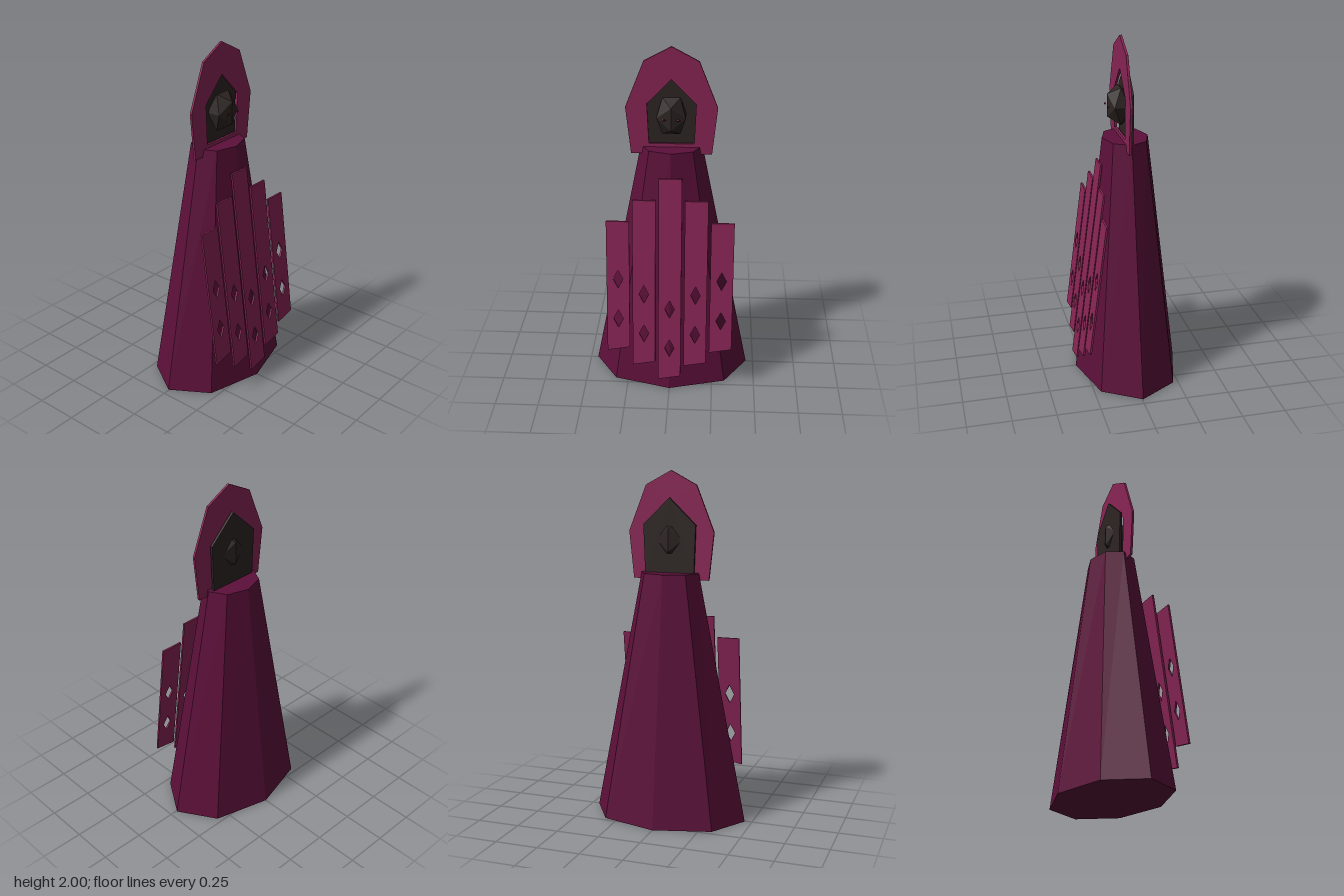
import * as THREE from 'three';

const mat = (name, color) => {
  const m = new THREE.MeshStandardMaterial({ color });
  m.name = name;
  return m;
};

const polygon = (points) => points.map(([x, y]) => new THREE.Vector2(x, y));

// Closed outline from the points of its left half, running from the top centre down
const mirrored = (half) => polygon([
  ...half,
  ...half.filter(([x]) => x !== 0).reverse().map(([x, y]) => [-x, y]),
]);

const plate = (outline, holes, depth) => {
  const shape = new THREE.Shape(outline);
  shape.holes = holes.map((h) => new THREE.Path(h));
  return new THREE.ExtrudeGeometry(shape, { depth, bevelEnabled: false });
};

export function createModel() {
  const robeMat = mat('deep plum', 0x5c0f39);
  const trimMat = mat('raspberry', 0x892555);
  const darkMat = mat('charcoal brown', 0x2d2523);
  const eyeMat = mat('dark red', 0x6a1028);

  const group = new THREE.Group();
  const add = (name, geometry, material, x = 0, y = 0, z = 0) => {
    const mesh = new THREE.Mesh(geometry, material);
    mesh.name = name;
    mesh.position.set(x, y, z);
    group.add(mesh);
    return mesh;
  };

  // Eight-sided robe, oval in plan and less so at the neck
  const robeHeight = 1.43;
  let robe = new THREE.CylinderGeometry(1, 1, robeHeight, 8);
  const rp = robe.attributes.position;
  for (let i = 0; i < rp.count; i++) {
    const top = rp.getY(i) > 0;
    rp.setX(i, rp.getX(i) * (top ? 0.172 : 0.458));
    rp.setZ(i, rp.getZ(i) * (top ? 0.132 : 0.305));
  }
  robe = robe.toNonIndexed();
  robe.computeVertexNormals();
  add('robe', robe, robeMat, 0, robeHeight / 2, -0.005);

  // Flat hood with a pointed face opening
  const hoodOutline = mirrored([[0, 2], [-0.15, 1.92], [-0.253, 1.66], [-0.225, 1.39]]);
  const opening = mirrored([[0, 1.82], [-0.135, 1.68], [-0.125, 1.45]]);
  add('hood', plate(hoodOutline, [opening], 0.013), trimMat, 0, 0, 0.011);

  // Dark lining behind the opening
  const lining = mirrored([[0, 1.85], [-0.155, 1.7], [-0.145, 1.42]]);
  add('hoodLining', plate(lining, [], 0.014), darkMat, 0, 0, -0.02);

  // Faceted head
  const head = new THREE.IcosahedronGeometry(1, 0);
  head.scale(0.094, 0.123, 0.079);
  head.computeVertexNormals();
  add('head', head, darkMat, 0, 1.615, 0.0275);

  // Small eyes
  for (const side of [-1, 1]) {
    const eye = new THREE.OctahedronGeometry(1, 0);
    eye.scale(0.015, 0.009, 0.006);
    add(side > 0 ? 'leftEye' : 'rightEye', eye, eyeMat, side * 0.04, 1.615, 0.098);
  }

  // Hanging front strips with slanted hems and diamond cut-outs, leaning along the robe
  const strips = [[0, 0.07, 1.29], [1, 0.16, 1.165], [2, 0.25, 1.04]];
  for (const [step, hem, top] of strips) {
    for (const side of step ? [-1, 1] : [1]) {
      const outline = polygon([[-0.065, hem], [0.065, hem + 0.022], [0.065, top], [-0.065, top]]);
      const diamonds = [0.2, 0.445].map((up) => {
        const y = hem + up;
        return polygon([[0, y + 0.055], [-0.028, y], [0, y - 0.055], [0.028, y]]);
      });
      const geo = plate(outline, diamonds, 0.011);
      const p = geo.attributes.position;
      for (let i = 0; i < p.count; i++) p.setZ(i, p.getZ(i) + 0.306 - 0.13 * p.getY(i));
      geo.computeVertexNormals();
      add('frontStrip', geo, trimMat, side * step * 0.1475, 0, 0);
    }
  }

  return group;
}
